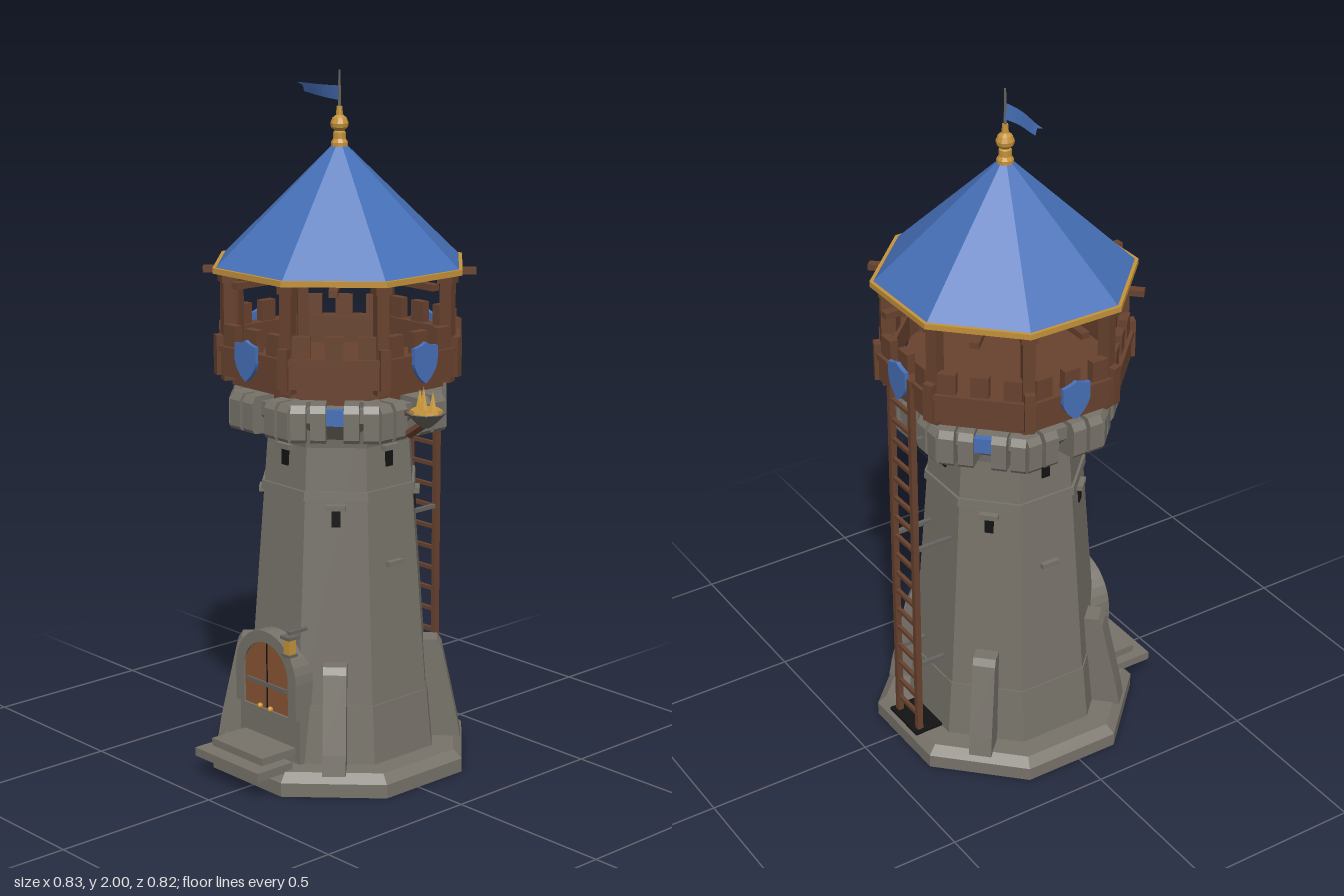
import * as THREE from 'three';

const mat = (name, color) => {
  const m = new THREE.MeshStandardMaterial({ color });
  m.name = name;
  return m;
};

export function createModel() {
  const stone = mat('stone', 0x77736a), wood = mat('wood', 0x68422e), door = mat('doorWood', 0x8a5434);
  const blue = mat('blue', 0x4670b8), gold = mat('gold', 0xc4923a), black = mat('black', 0x131313);
  const iron = mat('iron', 0x66645f), flame = mat('flame', 0xe0ac48);
  const cloth = mat('cloth', 0x4670b8);
  cloth.side = THREE.DoubleSide;

  const model = new THREE.Group();
  const tower = new THREE.Group();
  tower.name = 'tower';
  tower.position.set(-0.03, 0, -0.025);
  model.add(tower);

  // Helpers: flat-shaded mesh, box, octagonal frustum, octagonal ring, bar between points
  const add = (parent, name, geo, m, x = 0, y = 0, z = 0) => {
    const g = geo.index ? geo.toNonIndexed() : geo;
    g.computeVertexNormals();
    const mesh = new THREE.Mesh(g, m);
    mesh.name = name;
    mesh.position.set(x, y, z);
    parent.add(mesh);
    return mesh;
  };
  const box = (p, name, m, w, h, d, x, y, z) => add(p, name, new THREE.BoxGeometry(w, h, d), m, x, y, z);
  const C = Math.cos(Math.PI / 8);
  const oct = (name, m, aBottom, aTop, y0, y1) =>
    add(tower, name, new THREE.CylinderGeometry(aTop / C, aBottom / C, y1 - y0, 8, 1, false, Math.PI / 8), m, 0, (y0 + y1) / 2, 0);
  const ring = (name, m, pts) => add(tower, name,
    new THREE.LatheGeometry([...pts, pts[0]].map(([r, y]) => new THREE.Vector2(r / C, y)), 8, Math.PI / 8), m);
  const bar = (p, name, m, a, b, w, d = w) => {
    const A = new THREE.Vector3(...a), B = new THREE.Vector3(...b);
    const mesh = box(p, name, m, w, d, A.distanceTo(B), 0, 0, 0);
    mesh.position.copy(A).add(B).multiplyScalar(0.5);
    mesh.quaternion.setFromUnitVectors(new THREE.Vector3(0, 0, 1), B.sub(A).normalize());
    return mesh;
  };
  // Extrudes a (radius, height) outline sideways, so the profile points outward along +z
  const radial = (p, name, m, pts, w, x = 0) => {
    const g = new THREE.ExtrudeGeometry(new THREE.Shape(pts.map(q => new THREE.Vector2(...q))), { depth: w, bevelEnabled: false });
    g.translate(0, 0, -w / 2).rotateY(-Math.PI / 2);
    return add(p, name, g, m, x, 0, 0);
  };
  const plate = (p, name, m, shape, depth, x, y, z) =>
    add(p, name, new THREE.ExtrudeGeometry(shape, { depth, bevelEnabled: false, curveSegments: 8 }), m, x, y, z);
  const wallAt = y => 0.265 - (y - 0.06) * 0.071;

  // Plinth, tapered shaft and string courses
  oct('plinth', stone, 0.36, 0.36, 0, 0.04);
  oct('plinthBevel', stone, 0.36, 0.335, 0.04, 0.065);
  oct('shaftBase', stone, 0.272, 0.256, 0.06, 0.235);
  oct('shaft', stone, wallAt(0.2), wallAt(1.1), 0.2, 1.1);
  oct('stringCourse', stone, 0.218, 0.216, 0.825, 0.85);
  oct('upperCollar', stone, 0.206, 0.21, 0.975, 1.0);

  // Stone crown and timber gallery
  oct('crownFlare', stone, 0.2, 0.272, 0.99, 1.06);
  oct('crownSlab', stone, 0.272, 0.272, 1.06, 1.1);
  oct('deckBase', wood, 0.225, 0.225, 1.09, 1.14);
  oct('deck', wood, 0.295, 0.295, 1.135, 1.172);
  ring('parapet', wood, [[0.3, 1.168], [0.335, 1.168], [0.335, 1.25], [0.3, 1.25]]);
  ring('parapetRail', wood, [[0.296, 1.235], [0.341, 1.235], [0.341, 1.252], [0.296, 1.252]]);

  // Roof with gilded eaves
  oct('roof', blue, 0.336, 0.003, 1.467, 1.81);
  oct('eaves', gold, 0.345, 0.345, 1.452, 1.468);

  const shield = new THREE.Shape();
  shield.moveTo(-0.044, 0.045);
  shield.quadraticCurveTo(-0.02, 0.046, 0, 0.058);
  shield.quadraticCurveTo(0.02, 0.046, 0.044, 0.045);
  shield.lineTo(0.044, 0);
  shield.quadraticCurveTo(0.036, -0.035, 0, -0.058);
  shield.quadraticCurveTo(-0.036, -0.035, -0.044, 0);

  // Parts repeated on each of the eight faces; odd faces are the diagonals
  for (let i = 0; i < 8; i++) {
    const face = new THREE.Group();
    face.name = 'face' + i;
    face.rotation.y = i * Math.PI / 4;
    tower.add(face);
    const diagonal = i % 2 === 1;

    for (const x of [-0.1, -0.046, 0.046, 0.1])
      radial(face, 'corbel', stone, [[0.18, 0.985], [0.235, 1.0], [0.298, 1.01], [0.305, 1.02], [0.305, 1.095], [0.292, 1.115], [0.18, 1.115]], 0.042, x);
    for (const x of [-0.09, 0, 0.09]) box(face, 'merlon', wood, 0.05, 0.065, 0.025, x, 1.28, 0.318);
    box(face, 'roofBeam', wood, 0.025, 0.018, 0.2, 0, 1.441, 0.285);

    // Arrow slit with its lintel
    const y = diagonal ? 0.775 : 0.935, r = wallAt(y);
    box(face, 'arrowSlit', black, 0.025, 0.05, 0.008, 0, y, r + 0.002);
    box(face, 'slitLintel', stone, 0.055, 0.015, 0.025, 0, y + 0.031, r + 0.004);

    if (diagonal) {
      radial(face, 'buttress', stone, [[0.2, 0.06], [0.355, 0.06], [0.345, 0.12], [0.298, 0.34], [0.285, 0.36], [0.2, 0.36]], 0.066);
      box(face, 'crownBanner', blue, 0.048, 0.045, 0.02, 0, 1.08, 0.285);
    } else {
      plate(face, 'shield', blue, shield, 0.012, 0, 1.228, 0.339);
    }
    if (i === 2 || i === 6) box(face, 'wallStone', stone, 0.055, 0.015, 0.03, 0, 0.632, wallAt(0.632));

    // Corner post with foot and head blocks
    const corner = new THREE.Group();
    corner.name = 'cornerPost';
    corner.rotation.y = Math.PI / 8;
    face.add(corner);
    box(corner, 'post', wood, 0.034, 0.3, 0.034, 0, 1.3, 0.33);
    box(corner, 'postHead', wood, 0.045, 0.02, 0.045, 0, 1.438, 0.33);
    box(corner, 'cornerBoard', wood, 0.03, 0.112, 0.02, 0, 1.224, 0.358);
  }

  // Finial and pole
  const finial = [[0, 1.785], [0.024, 1.785], [0.024, 1.8], [0.018, 1.81], [0.018, 1.828], [0.013, 1.832], [0.024, 1.842],
    [0.026, 1.853], [0.02, 1.868], [0.01, 1.876], [0.008, 1.9], [0, 1.9]];
  add(tower, 'finial', new THREE.LatheGeometry(finial.map(q => new THREE.Vector2(...q)), 10), gold);
  add(tower, 'flagPole', new THREE.CylinderGeometry(0.003, 0.005, 0.11, 6), iron, 0, 1.945, 0);

  // Swallowtail pennant with a gentle wave
  const pennant = new THREE.PlaneGeometry(0.18, 1, 8, 2);
  const pp = pennant.attributes.position;
  for (let k = 0; k < pp.count; k++) {
    const t = (0.09 - pp.getX(k)) / 0.18, v = pp.getY(k);
    const notch = t > 0.99 && Math.abs(v) < 0.1 ? 0.035 : 0;
    pp.setXYZ(k, -0.18 * t + notch + (t > 0.99 && v < 0 ? 0.02 : 0), 1.936 + 0.006 * t + v * (0.042 - 0.018 * t),
      0.006 * Math.sin(t * 5) + v * 0.01);
  }
  add(tower, 'pennant', pennant, cloth);

  // Doorway: arched surround, door leaves, straps, knobs and steps
  const arch = (r, y0, spring) => {
    const s = new THREE.Shape();
    s.moveTo(-r, y0);
    s.lineTo(r, y0);
    s.lineTo(r, spring);
    s.absarc(0, spring, r, 0, Math.PI, false);
    return s;
  };
  plate(tower, 'doorSurround', stone, arch(0.13, 0.06, 0.305), 0.07, 0, 0, 0.2);
  const frame = arch(0.13, 0.2, 0.305);
  frame.holes.push(arch(0.096, 0.201, 0.305));
  plate(tower, 'doorArch', stone, frame, 0.016, 0, 0, 0.27);
  plate(tower, 'door', door, arch(0.096, 0.2, 0.305), 0.009, 0, 0, 0.27);
  box(tower, 'doorSeam', black, 0.004, 0.195, 0.004, 0, 0.3, 0.279);
  box(tower, 'doorStrap', iron, 0.17, 0.012, 0.008, 0, 0.275, 0.281);
  for (const s of [-1, 1]) add(tower, 'doorKnob', new THREE.IcosahedronGeometry(0.009, 1), gold, s * 0.022, 0.207, 0.288);
  box(tower, 'lowerStep', stone, 0.275, 0.025, 0.13, 0, 0.0725, 0.37);
  box(tower, 'upperStep', stone, 0.22, 0.022, 0.14, 0, 0.1, 0.325);

  // Ladder on the back, tied to the wall by brackets
  const ladder = new THREE.Group();
  ladder.name = 'ladder';
  tower.add(ladder);
  for (const s of [-1, 1]) {
    box(ladder, 'ladderRail', wood, 0.016, 1.19, 0.018, s * 0.055, 0.66, -0.338);
    for (const y of [0.3, 0.7, 1.06]) bar(ladder, 'ladderBracket', iron, [s * 0.055, y, -0.2], [s * 0.055, y, -0.34], 0.012);
  }
  for (let k = 0; k < 18; k++) box(ladder, 'ladderRung', wood, 0.11, 0.011, 0.011, 0, 0.12 + k * 0.064, -0.338);
  box(ladder, 'ladderFoot', black, 0.15, 0.008, 0.12, 0, 0.068, -0.3);

  // Hanging lantern beside the door
  const lantern = new THREE.Group();
  lantern.name = 'lantern';
  lantern.position.set(0.16, 0, 0.335);
  model.add(lantern);
  box(lantern, 'lanternArm', iron, 0.01, 0.009, 0.065, 0, 0.494, -0.03);
  box(lantern, 'lanternCap', iron, 0.038, 0.009, 0.038, 0, 0.483, 0);
  box(lantern, 'lanternGlass', gold, 0.024, 0.046, 0.024, 0, 0.456, 0);
  box(lantern, 'lanternFoot', iron, 0.032, 0.008, 0.032, 0, 0.431, 0);

  // Fire bowl on a slanted bracket
  const brazier = new THREE.Group();
  brazier.name = 'brazier';
  brazier.position.set(0.363, 0, 0.015);
  model.add(brazier);
  add(brazier, 'bowl', new THREE.CylinderGeometry(0.057, 0.028, 0.03, 8), iron, 0, 1.088, 0);
  add(brazier, 'bowlFoot', new THREE.CylinderGeometry(0.028, 0.012, 0.012, 8), iron, 0, 1.067, 0);
  add(brazier, 'embers', new THREE.CylinderGeometry(0.044, 0.048, 0.012, 8), gold, 0, 1.105, 0);
  bar(brazier, 'bowlBracket', wood, [-0.08, 1.025, -0.01], [-0.005, 1.075, -0.01], 0.018);
  bar(brazier, 'bowlArm', wood, [-0.13, 1.085, -0.01], [-0.04, 1.085, -0.01], 0.014);
  for (const [x, z, h] of [[-0.025, 0, 0.055], [0, 0.01, 0.068], [0.025, 0, 0.055]])
    add(brazier, 'flame', new THREE.ConeGeometry(0.011, h, 4, 1, false, Math.PI / 4), flame, x, 1.11 + h / 2, z);

  return model;
}
